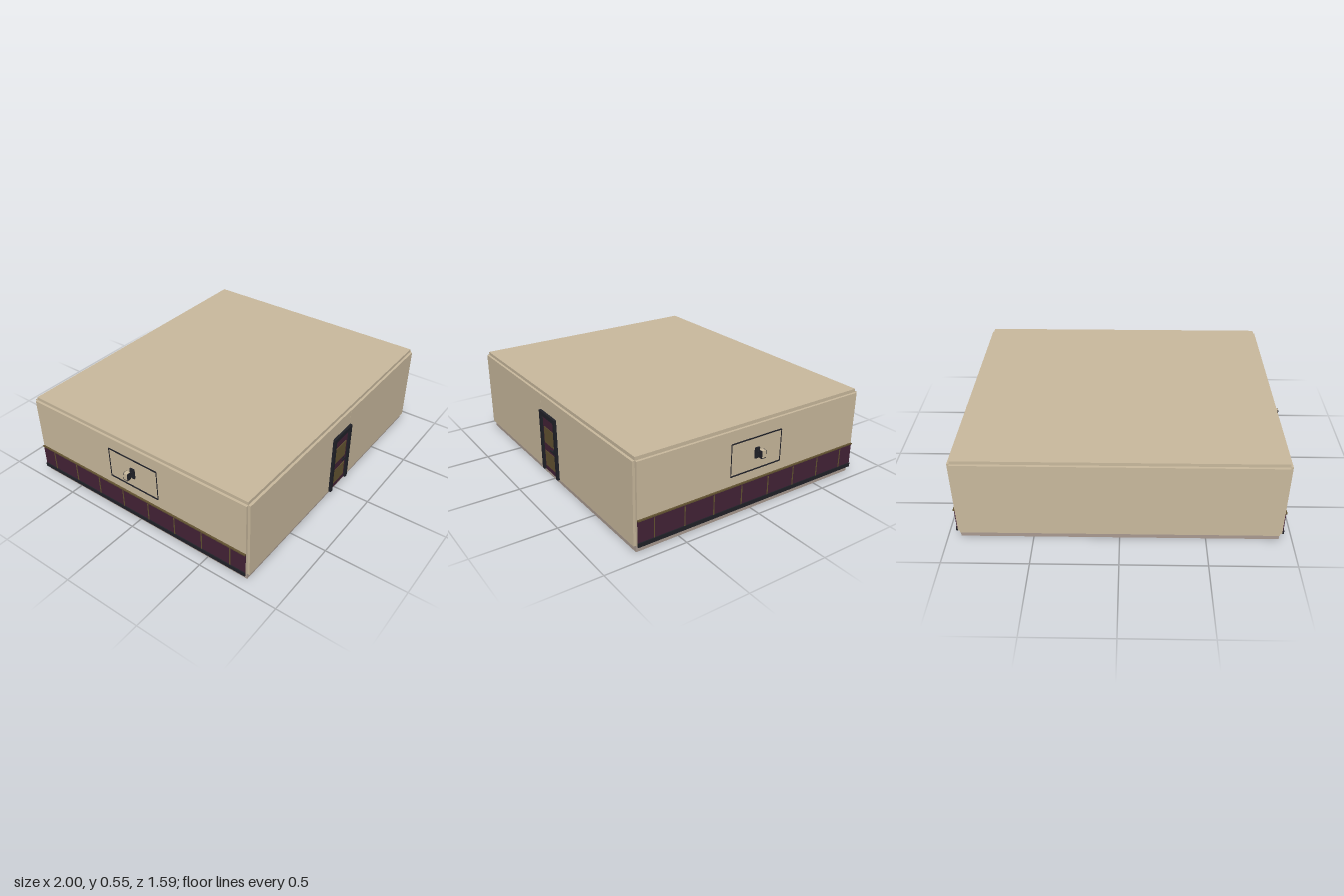
import * as THREE from 'three';

const mat = (name, color) => {
  const m = new THREE.MeshStandardMaterial({ color });
  m.name = name;
  return m;
};

export function createModel() {
  const plaster = mat('plaster', 0xc9b99d);
  const stone = mat('floorStone', 0xa99a90);
  const plum = mat('plumPanel', 0x432236);
  const brass = mat('agedBrass', 0x645432);
  const black = mat('blackTrim', 0x202128);

  const root = new THREE.Group();
  root.name = 'room';

  // Box given by its limits on each axis
  const box = (parent, name, m, x0, x1, y0, y1, z0, z1) => {
    const g = new THREE.BoxGeometry(Math.abs(x1 - x0), y1 - y0, z1 - z0);
    const mesh = new THREE.Mesh(g, m);
    mesh.position.set((x0 + x1) / 2, (y0 + y1) / 2, (z0 + z1) / 2);
    mesh.name = name;
    parent.add(mesh);
    return mesh;
  };

  const W = 0.925, F = 0.767, B = -0.782, T = 0.015;

  // Floor and ceiling slabs
  box(root, 'floor', stone, -W, W, 0, 0.04, B, F);
  box(root, 'ceiling', plaster, -W, W, 0.53, 0.55, B, F);

  // Back wall, and front wall around the doorway
  box(root, 'backWall', plaster, -W, W, 0.04, 0.53, B - T, B);
  box(root, 'frontWallRight', plaster, -W, -0.095, 0.04, 0.53, F, F + T);
  box(root, 'frontWallLeft', plaster, 0.095, W, 0.04, 0.53, F, F + T);
  box(root, 'frontLintel', plaster, -0.095, 0.095, 0.42, 0.53, F, F + T - 0.001);

  // Door with frame, inset panels and handle
  const door = new THREE.Group();
  door.name = 'door';
  root.add(door);
  box(door, 'doorLeaf', plum, -0.08, 0.08, 0.04, 0.41, F, 0.784);
  for (const s of [-1, 1]) {
    box(door, 'doorJamb', black, s * 0.1, s * 0.078, 0.04, 0.43, F, 0.797);
  }
  box(door, 'doorHead', black, -0.1, 0.1, 0.405, 0.432, F, 0.797);
  for (const [y0, y1] of [[0.072, 0.174], [0.227, 0.334]]) {
    box(door, 'doorPanel', brass, -0.066, 0.062, y0, y1, 0.784, 0.787);
  }
  box(door, 'handlePlate', black, 0.043, 0.053, 0.19, 0.218, 0.784, 0.788);
  box(door, 'doorHandle', black, 0.02, 0.05, 0.202, 0.21, 0.788, 0.796);

  // Each side wall with its wainscot, moulding and sconce
  for (const s of [-1, 1]) {
    const side = new THREE.Group();
    side.name = s > 0 ? 'leftSide' : 'rightSide';
    root.add(side);
    const add = (name, m, x0, x1, ...r) => box(side, name, m, s * x0, s * x1, ...r);

    add('sideWall', plaster, W, 0.94, 0.04, 0.53, B, F);
    add('wainscot', plum, 0.94, 0.944, 0.06, 0.192, B, F);
    add('baseboard', black, 0.94, 0.95, 0.04, 0.064, B, F);
    add('chairRail', brass, 0.94, 0.95, 0.192, 0.2, B, F);
    for (let i = 0; i < 8; i++) {
      const z = 0.667 - i * 0.193;
      add('batten', brass, 0.944, 0.947, 0.064, 0.182, z - 0.003, z + 0.003);
    }

    // Thin rectangular wall moulding
    for (const y of [0.258, 0.453]) {
      add('mouldingRail', black, 0.94, 0.945, y - 0.003, y + 0.003, -0.185, 0.17);
    }
    for (const z of [-0.185, 0.17]) {
      add('mouldingStile', black, 0.94, 0.945, 0.258, 0.453, z - 0.001, z + 0.001);
    }

    // Sconce: wall plate, arm, and shade with dark cheeks
    add('sconcePlate', black, 0.94, 0.95, 0.326, 0.39, -0.025, 0.005);
    add('sconceArm', black, 0.95, 0.974, 0.362, 0.37, -0.014, -0.006);
    add('sconceShade', plaster, 0.974, 1, 0.349, 0.392, -0.023, 0.003);
    add('shadeBase', black, 0.974, 1, 0.345, 0.349, -0.025, 0.005);
    for (const z of [-0.025, 0.003]) {
      add('shadeCheek', black, 0.974, 1, 0.349, 0.392, z, z + 0.002);
    }
  }
  return root;
}
